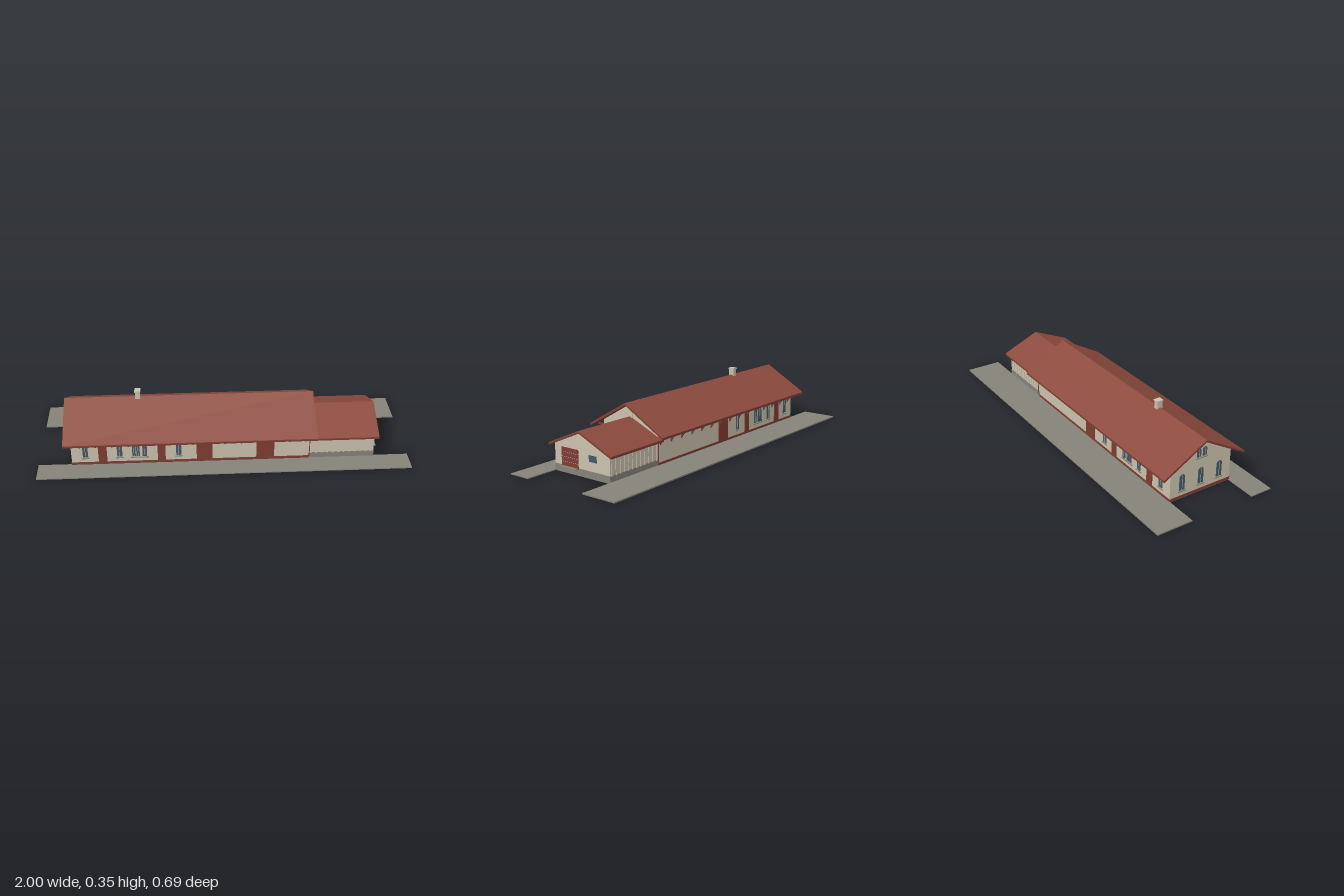
import * as THREE from 'three';

const mat = (name, color) => new THREE.MeshStandardMaterial({ name, color });

export function createModel() {
  const root = new THREE.Group();
  root.name = 'station';
  const roofRed = mat('roof red', 0x8c4a3e);
  const trim = mat('trim red', 0x7e3d32);
  const cream = mat('cream plaster', 0xcbc2ae);
  const stone = mat('grey stone', 0x85827a);
  const glass = mat('dark glass', 0x465a66);
  const mid = 0.038, front = 0.224, back = -0.148;

  const add = (name, geo, m, parent = root) => {
    const mesh = new THREE.Mesh(geo, m);
    mesh.name = name;
    parent.add(mesh);
    return mesh;
  };
  // Box given by its limits
  const box = (name, m, x0, x1, y0, y1, z0, z1, parent = root) => {
    const mesh = add(name, new THREE.BoxGeometry(x1 - x0, y1 - y0, z1 - z0), m, parent);
    mesh.position.set((x0 + x1) / 2, (y0 + y1) / 2, (z0 + z1) / 2);
    return mesh;
  };
  // Prism along x from a [z, y] outline
  const prism = (name, m, pts, x0, x1, parent = root) => {
    const shape = new THREE.Shape(pts.map(([z, y]) => new THREE.Vector2(-z, y)));
    const geo = new THREE.ExtrudeGeometry(shape, { depth: x1 - x0, bevelEnabled: false });
    geo.rotateY(Math.PI / 2).translate(x0, 0, 0);
    return add(name, geo, m, parent);
  };
  const roof = (name, x0, x1, half, ridge, eave, t) => {
    const profile = (lift, thick) => [
      [mid - half, eave + lift], [mid, ridge + lift], [mid + half, eave + lift],
      [mid + half, eave + lift - thick], [mid, ridge + lift - thick], [mid - half, eave + lift - thick]];
    prism(name, roofRed, profile(0, 0.004), x0, x1);
    prism(name + 'Edge', trim, profile(-0.004, t - 0.004), x0, x1);
  };
  const gableBody = (name, x0, x1, y0, ridge, slope) => {
    const h = front - mid;
    prism(name, cream, [[back, y0], [front, y0], [front, ridge - h * slope], [mid, ridge],
      [back, ridge - h * slope]], x0, x1);
  };

  // Platforms
  box('backPlatform', stone, -1, 1, 0, 0.007, -0.35, back);
  box('frontPlatform', stone, -1, 1, 0, 0.005, 0.22, 0.345);

  // Main hall
  box('mainFoundation', stone, -0.82, 0.455, 0, 0.01, back, front);
  gableBody('mainWalls', -0.82, 0.455, 0.006, 0.299, 0.58);
  box('plinthFront', trim, -0.822, 0.457, 0.004, 0.019, front, front + 0.003);
  box('plinthBack', trim, -0.822, 0.457, 0.004, 0.019, back - 0.003, back);
  box('plinthLeft', trim, -0.823, -0.82, 0.004, 0.019, back, front);
  roof('mainRoof', -0.853, 0.492, 0.248, 0.312, 0.169, 0.013);

  // Freight annex
  box('annexBase', stone, 0.455, 0.812, 0, 0.038, back - 0.001, front + 0.001);
  gableBody('annexWalls', 0.455, 0.81, 0.03, 0.225, 0.43);
  roof('annexRoof', 0.44, 0.83, 0.212, 0.236, 0.144, 0.013);
  for (let i = 0; i < 12; i++) {
    const x = 0.468 + i * 0.03;
    box('battenFront', cream, x - 0.003, x + 0.003, 0.035, 0.14, front, front + 0.003);
    box('battenBack', cream, x - 0.003, x + 0.003, 0.035, 0.14, back - 0.003, back);
  }
  box('loadingSill', stone, 0.81, 0.834, 0.032, 0.037, 0.06, 0.175);
  for (const z of [front + 0.007, back - 0.007]) {
    const pipe = add('downpipe', new THREE.CylinderGeometry(0.0022, 0.0022, 0.125, 8), trim);
    pipe.position.set(0.459, 0.0825, z);
  }

  // Chimney
  box('chimney', cream, -0.472, -0.446, 0.27, 0.344, 0.022, 0.054);
  box('chimneyCap', cream, -0.475, -0.443, 0.343, 0.351, 0.019, 0.057);

  // Eave brackets, mirrored to both sides
  for (let i = 0; i < 15; i++) {
    const x0 = -0.775 + i * 0.0865 - 0.003, x1 = x0 + 0.007;
    for (const s of [1, -1]) {
      const w = front - mid;
      const at = (pts) => {
        const p = pts.map(([d, y]) => [mid + s * (w + d), y]);
        return s > 0 ? p : p.reverse();
      };
      prism('bracketBeam', trim, at([[0, 0.154], [0.048, 0.154], [0.061, 0.162], [0, 0.163]]), x0, x1);
      prism('bracketPost', trim, at([[0, 0.11], [0.005, 0.115], [0.005, 0.156], [0, 0.156]]), x0, x1);
      prism('bracketBrace', trim, at([[0.004, 0.116], [0.014, 0.13], [0.033, 0.155], [0.025, 0.155],
        [0.01, 0.136], [0.004, 0.126]]), x0, x1);
    }
  }

  // Facade groups: local x runs along the wall, local z points out of it
  const facade = (name, x, z, turn) => {
    const g = new THREE.Group();
    g.name = name;
    g.position.set(x, 0, z);
    g.rotation.y = turn;
    root.add(g);
    return g;
  };
  const arch = (name, m, g, x, w, y0, y1, z = 0, depth = 0.003) => {
    const r = w / 2, s = new THREE.Shape();
    s.moveTo(-r, y0).lineTo(r, y0).lineTo(r, y1 - r).absarc(0, y1 - r, r, 0, Math.PI, false).lineTo(-r, y0);
    const geo = new THREE.ExtrudeGeometry(s, { depth, bevelEnabled: false, curveSegments: 8 });
    add(name, geo.translate(x, 0, z), m, g);
  };
  const win = (g, x, w, y0 = 0.05, y1 = 0.14) => {
    arch('windowPane', glass, g, x, w, y0, y1);
    box('windowMullion', cream, x - 0.001, x + 0.001, y0, y1 - 0.003, 0.003, 0.004, g);
    box('windowSill', stone, x - w / 2 - 0.008, x + w / 2 + 0.008, y0 - 0.009, y0 - 0.005, 0, 0.005, g);
  };
  const door = (g, x, w) => {
    box('door', trim, x - w / 2, x + w / 2, 0.012, 0.128, 0, 0.004, g);
    const s = new THREE.Shape([[-1, 0], [1, 0], [0.75, 0.009], [0.35, 0.014], [-0.35, 0.014], [-0.75, 0.009]]
      .map(([a, b]) => new THREE.Vector2(a * w * 0.46, b)));
    const geo = new THREE.ExtrudeGeometry(s, { depth: 0.003, bevelEnabled: false });
    add('doorFanlight', geo.translate(x, 0.128, 0), glass, g);
  };

  // Long sides
  const frontSide = facade('frontFacade', 0, front, 0);
  const backSide = facade('backFacade', 0, back, Math.PI);
  for (const [g, s] of [[frontSide, 1], [backSide, -1]]) {
    for (const [x, w] of [[-0.745, 0.028], [-0.562, 0.028], [-0.486, 0.018], [-0.464, 0.018],
      [-0.428, 0.024], [-0.246, 0.028]]) win(g, s * x, w);
    for (const [x, w] of [[-0.653, 0.046], [-0.338, 0.042], [-0.108, 0.084]]) door(g, s * x, w);
  }
  box('slidingDoor', trim, 0.172, 0.268, 0.012, 0.145, 0, 0.005, frontSide);
  box('slidingDoorRail', trim, 0.165, 0.37, 0.136, 0.141, 0.004, 0.008, frontSide);

  // Left gable
  const leftSide = facade('leftGable', -0.82, 0, -Math.PI / 2);
  for (const d of [-0.115, 0, 0.115]) win(leftSide, mid + d, 0.032);
  for (const d of [-0.018, 0.018]) win(leftSide, mid + d, 0.024, 0.205, 0.255);

  // Blind arch on the right gable
  const rightSide = facade('rightGable', 0.455, 0, Math.PI / 2);
  arch('blindArch', cream, rightSide, -mid, 0.032, 0.2, 0.271);

  // Annex end wall
  const endSide = facade('annexEnd', 0.81, 0, Math.PI / 2);
  box('garageDoorGaps', cream, -0.173, -0.063, 0.036, 0.132, 0, 0.003, endSide);
  for (let i = 0; i < 4; i++) {
    const y = 0.036 + i * 0.0245;
    box('garageDoorPanel', trim, -0.174, -0.062, y, y + 0.0225, 0, 0.005, endSide);
  }
  for (const x of [0.023, 0.0495])
    box('endWindowPane', glass, x - 0.012, x + 0.012, 0.087, 0.12, 0, 0.003, endSide);

  return root;
}
